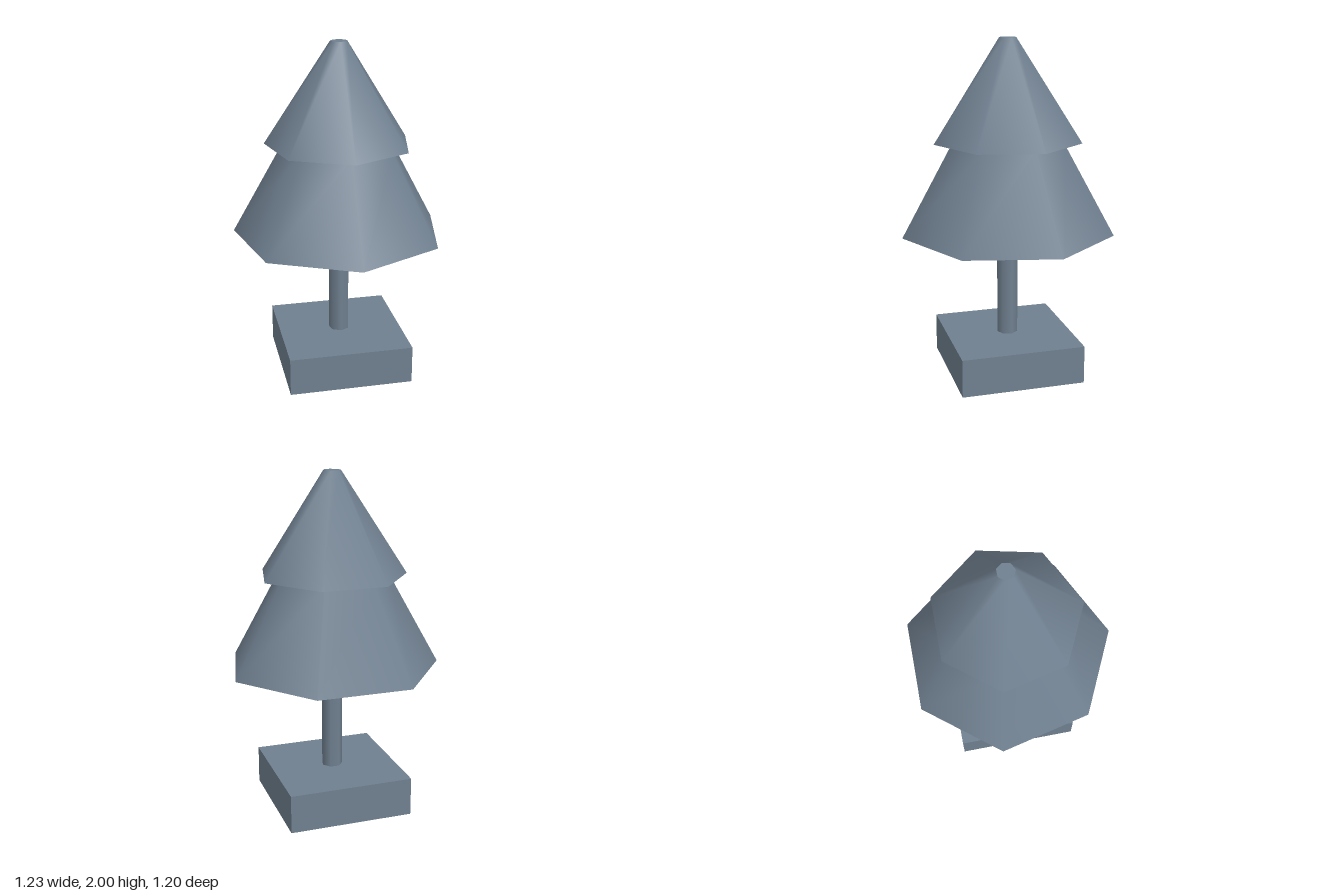
import * as THREE from 'three';

export function createModel() {
  const group = new THREE.Group();
  const slate = new THREE.MeshStandardMaterial({ color: 0x708090 });
  slate.name = 'slateGrey';
  const axisZ = -0.031; // the seven-sided crown puts the axis slightly behind centre

  function add(name, geometry, bottom, top) {
    const mesh = new THREE.Mesh(geometry, slate);
    mesh.name = name;
    mesh.position.set(0, (bottom + top) / 2, axisZ);
    group.add(mesh);
  }

  // Square base
  add('base', new THREE.BoxGeometry(0.736, 0.228, 0.736), 0, 0.228);

  // Smooth seven-sided trunk and foliage tiers: name, top radius, bottom radius, bottom y, top y
  const tiers = [
    ['trunk', 0.0625, 0.0625, 0.228, 0.865],
    ['lowerFoliage', 0.33, 0.631, 0.865, 1.405],
    ['upperFoliage', 0.05, 0.436, 1.405, 2],
  ];
  for (const [name, rTop, rBottom, bottom, top] of tiers) {
    add(name, new THREE.CylinderGeometry(rTop, rBottom, top - bottom, 7), bottom, top);
  }
  return group;
}
